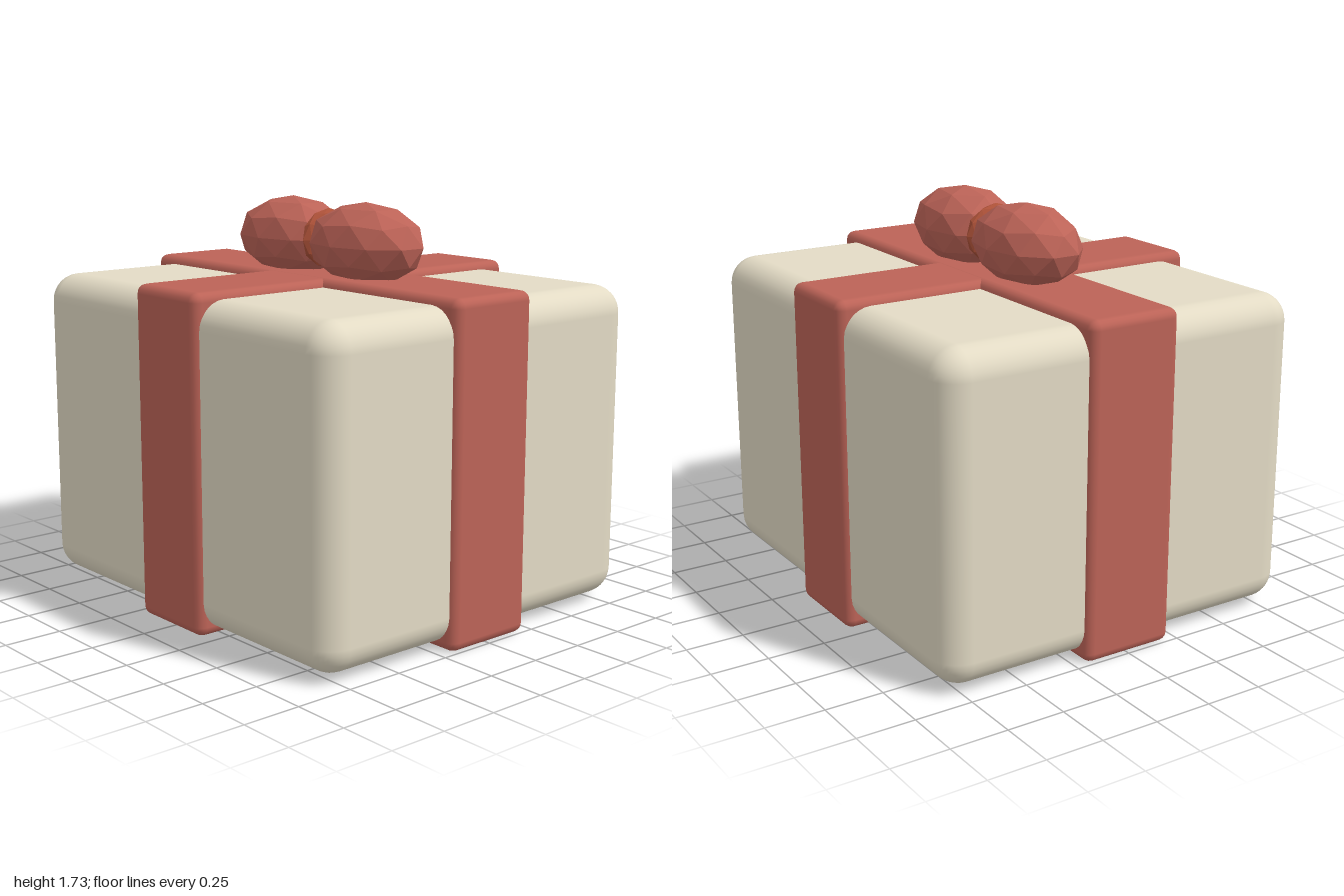
import * as THREE from 'three';
import { RoundedBoxGeometry } from 'three/addons/geometries/RoundedBoxGeometry.js';

const paper = new THREE.MeshStandardMaterial({ color: 0xe3dbc5 });
const ribbon = new THREE.MeshStandardMaterial({ color: 0xbc6357 });
const bowFabric = new THREE.MeshStandardMaterial({ color: 0xbc6357, flatShading: true });
const knotFabric = new THREE.MeshStandardMaterial({ color: 0xac5138, flatShading: true });

export function createModel() {
  const group = new THREE.Group();
  group.name = 'giftBox';

  const add = (name, geometry, material, x, y, z) => {
    const mesh = new THREE.Mesh(geometry, material);
    mesh.name = name;
    mesh.position.set(x, y, z);
    group.add(mesh);
  };

  // Faceted ellipsoid with a vertex pointing straight up
  const facetedBall = (rx, ry, rz) =>
    new THREE.IcosahedronGeometry(1, 1)
      .rotateZ(Math.atan(2 / (1 + Math.sqrt(5))))
      .scale(rx, ry, rz);

  // Wrapped box with soft edges
  add('box', new RoundedBoxGeometry(1.95, 1.36, 1.69, 4, 0.12), paper, 0, 0.705, 0);

  // Two crossing bands, slightly proud of the box on every side
  add('ribbonAcross', new RoundedBoxGeometry(2, 1.42, 0.42, 2, 0.04), ribbon, 0, 0.71, 0);
  add('ribbonFrontToBack', new RoundedBoxGeometry(0.42, 1.416, 1.74, 2, 0.04), ribbon, 0, 0.71, 0);

  // Bow: two plump loops and a knot between them
  for (const [name, side] of [['bowLoopLeft', 1], ['bowLoopRight', -1]]) {
    add(name, facetedBall(0.3, 0.175, 0.2), bowFabric, side * 0.24, 1.555, 0);
  }
  add('bowKnot', facetedBall(0.048, 0.13, 0.145), knotFabric, 0, 1.56, 0);

  return group;
}
